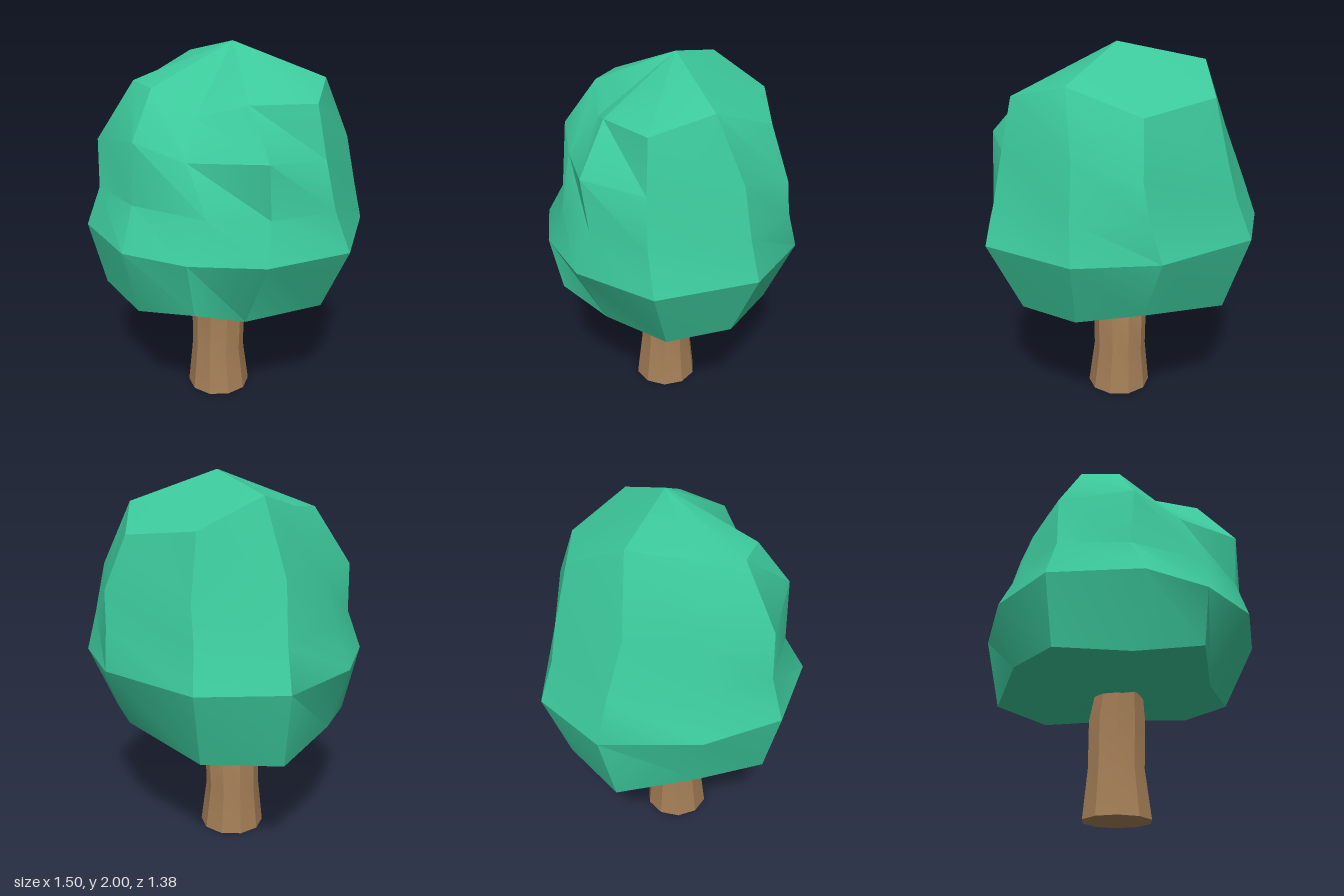
import * as THREE from 'three';
import { toCreasedNormals } from 'three/addons/utils/BufferGeometryUtils.js';

// Skins a stack of rings (bottom to top, clockwise from above) and closes both ends with fans.
function loft(rings, bottom, top) {
  const pos = [];
  const tri = (a, b, c) => pos.push(...a, ...b, ...c);
  const n = rings[0].length;
  for (let i = 0; i < n; i++) {
    const j = (i + 1) % n;
    for (let r = 0; r < rings.length - 1; r++) {
      const lo = rings[r], up = rings[r + 1];
      tri(lo[i], up[i], up[j]);
      tri(lo[i], up[j], lo[j]);
    }
    const last = rings[rings.length - 1];
    tri(bottom, rings[0][i], rings[0][j]);
    tri(top, last[j], last[i]);
  }
  const geo = new THREE.BufferGeometry();
  geo.setAttribute('position', new THREE.Float32BufferAttribute(pos, 3));
  return toCreasedNormals(geo, THREE.MathUtils.degToRad(30));
}

function part(name, geo, color) {
  const mesh = new THREE.Mesh(geo, new THREE.MeshStandardMaterial({ color }));
  mesh.name = name;
  return mesh;
}

// Canopy ribs: base xyz, belly xz, waist xz, shoulder xyz, crown xyz
const RIBS = [
  [-0.32, 0.645, -0.57, -0.38, -0.69, -0.33, -0.62, -0.29, 1.43, -0.59, -0.26, 1.75, -0.51],
  [0.19, 0.72, -0.53, 0.20, -0.675, 0.24, -0.62, 0.26, 1.43, -0.60, 0.19, 1.70, -0.51],
  [0.47, 0.69, -0.34, 0.57, -0.455, 0.54, -0.41, 0.50, 1.51, -0.37, 0.43, 1.83, -0.23],
  [0.575, 0.68, -0.01, 0.745, 0.04, 0.67, 0.07, 0.61, 1.50, 0.075, 0.55, 1.76, 0.07],
  [0.32, 0.65, 0.32, 0.515, 0.43, 0.485, 0.36, 0.49, 1.53, 0.39, 0.31, 1.76, 0.29],
  [0.18, 0.75, 0.565, 0.185, 0.625, 0.235, 0.53, 0.10, 1.50, 0.50, 0.04, 1.68, 0.35],
  [-0.19, 0.665, 0.565, -0.17, 0.685, -0.20, 0.565, -0.18, 1.57, 0.56, -0.20, 1.80, 0.385],
  [-0.54, 0.69, 0.43, -0.60, 0.49, -0.54, 0.44, -0.54, 1.51, 0.43, -0.39, 1.81, 0.30],
  [-0.645, 0.71, 0.08, -0.75, 0.09, -0.65, 0.10, -0.59, 1.50, 0.07, -0.42, 1.83, 0.07],
  [-0.645, 0.64, -0.33, -0.72, -0.40, -0.66, -0.35, -0.59, 1.53, -0.265, -0.44, 1.90, -0.24],
];

function canopy() {
  const rings = [
    RIBS.map((r) => r.slice(0, 3)),
    RIBS.map((r) => [r[3], 1.04, r[4]]),
    RIBS.map((r) => [r[5], 1.25, r[6]]),
    RIBS.map((r) => r.slice(7, 10)),
    RIBS.map((r) => r.slice(10, 13)),
  ];
  return loft(rings, [-0.07, 0.6, 0.02], [-0.01, 2, -0.04]);
}

// Ten-sided trunk, flared at the foot and leaning slightly near the top
function trunk() {
  const sections = [ // centre x, y, centre z, radius
    [-0.073, 0, 0.015, 0.178],
    [-0.078, 0.25, 0.013, 0.149],
    [-0.074, 0.5, 0.008, 0.152],
    [-0.074, 0.64, 0.035, 0.13],
    [-0.074, 0.72, 0.045, 0.12],
  ];
  const rings = sections.map(([x, y, z, r]) => Array.from({ length: 10 }, (_, i) => {
    const a = (i / 10) * Math.PI * 2;
    return [x + r * Math.cos(a), y, z + r * Math.sin(a)];
  }));
  return loft(rings, sections[0].slice(0, 3), sections[4].slice(0, 3));
}

export function createModel() {
  const tree = new THREE.Group();
  tree.name = 'tree';
  tree.add(part('trunk', trunk(), 0xa57f57), part('canopy', canopy(), 0x3cc99b));
  return tree;
}
